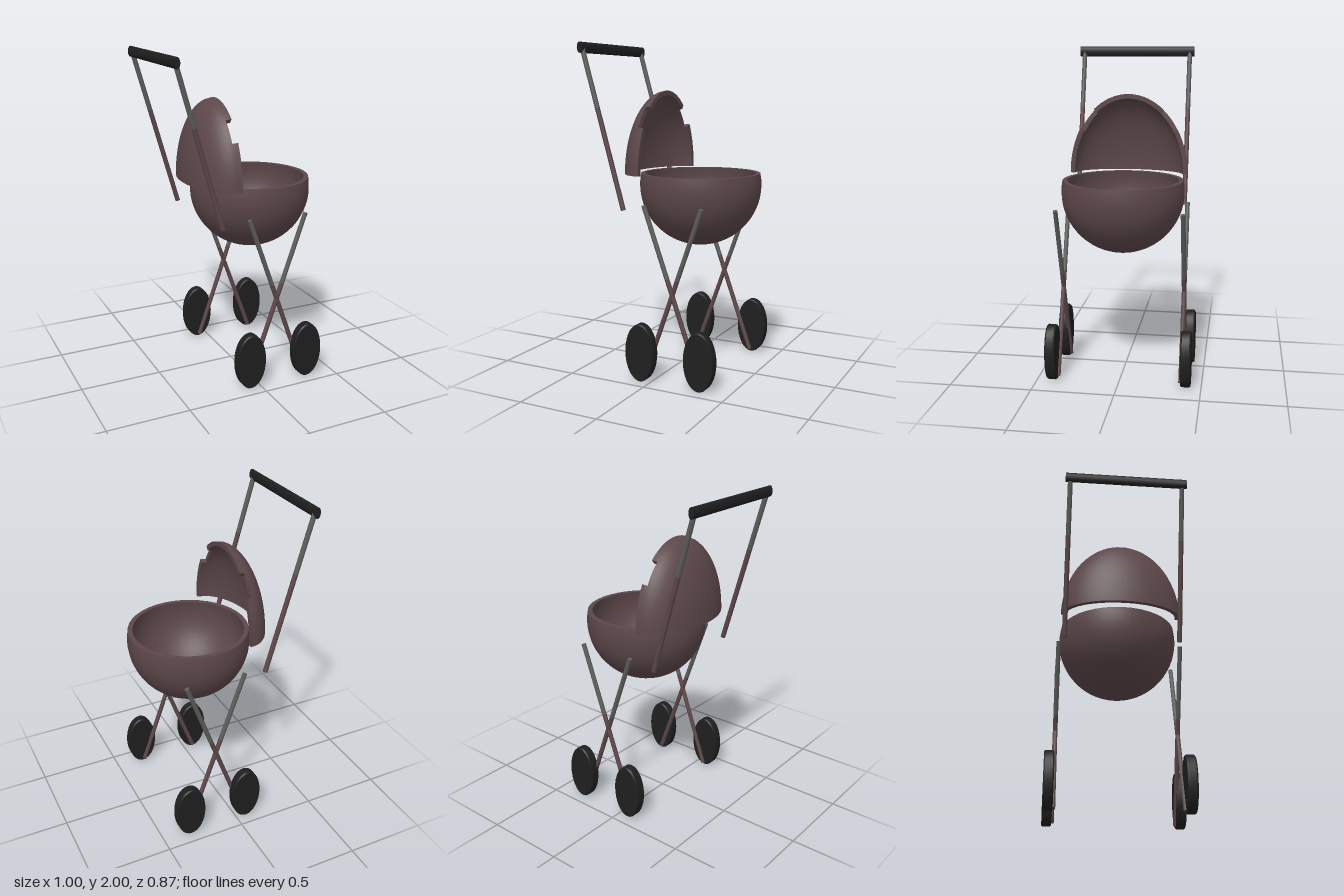
import * as THREE from 'three';
import { toCreasedNormals } from 'three/addons/utils/BufferGeometryUtils.js';

const mat = (name, color) => Object.assign(new THREE.MeshStandardMaterial({ color }), { name });

// Half-round hood shell with thickness; its front edge is notched on both sides
function hoodGeometry() {
  const steps = 14, notchU = Math.acos(0.035 / 0.215), n0 = 0.6, n1 = 0.941;
  const columns = [];
  const span = (from, to, count, edge) => {
    for (let k = 0; k <= count; k++) columns.push([from + (to - from) * k / count, edge]);
  };
  const full = Math.PI / 2;
  span(0, n0, 8, full);
  span(n0, n1, 5, notchU);
  span(n1, Math.PI - n1, 16, full);
  span(Math.PI - n1, Math.PI - n0, 5, notchU);
  span(Math.PI - n0, Math.PI, 8, full);

  const us = Array.from({ length: steps }, (_, i) => notchU * i / (steps - 1));
  const rows = 2 * (steps + 1), pos = [], idx = [];
  for (const [t, edge] of columns) {
    const outer = [...us, edge];
    const add = (u, thick) => pos.push(
      -0.1 - (0.215 - thick) * Math.cos(u),
      1.22 + (0.495 - thick) * Math.sin(u) * Math.sin(t),
      (0.37 - thick) * Math.sin(u) * Math.cos(t));
    outer.forEach(u => add(u, 0));
    outer.reverse().forEach(u => add(u, 0.028));
  }
  for (let j = 0; j < columns.length - 1; j++) {
    for (let i = 0; i < rows - 1; i++) {
      const a = j * rows + i, b = a + 1, c = a + rows, d = c + 1;
      idx.push(a, b, c, b, d, c);
    }
  }
  // bottom faces joining the outer and inner walls
  const last = (columns.length - 1) * rows;
  for (let i = 0; i < steps; i++) {
    const a = i, b = i + 1, c = rows - 1 - i, d = c - 1;
    idx.push(a, c, b, b, c, d);
    idx.push(last + a, last + b, last + c, last + b, last + d, last + c);
  }
  const geo = new THREE.BufferGeometry();
  geo.setAttribute('position', new THREE.Float32BufferAttribute(pos, 3));
  geo.setIndex(idx);
  return toCreasedNormals(geo, 0.7);
}

// Open bowl: outer wall, rim, inner wall
function bowlGeometry() {
  const pts = [], n = 18;
  const wall = r => {
    const top = Math.asin(0.07 / r), out = [];
    for (let i = 0; i <= n; i++) {
      const a = -Math.PI / 2 + (top + Math.PI / 2) * i / n;
      out.push(new THREE.Vector2(i ? r * Math.cos(a) : 0, r * Math.sin(a)));
    }
    return out;
  };
  pts.push(...wall(0.37), ...wall(0.342).reverse());
  return toCreasedNormals(new THREE.LatheGeometry(pts, 40), 0.7);
}

export function createModel() {
  const model = new THREE.Group();
  model.name = 'pram';
  const fabric = mat('brown', 0x5c474a);
  const metal = mat('grey metal', 0x5c5d5b);
  const rubber = mat('black', 0x1f1f1f);

  const add = (name, geo, material, x = 0, y = 0, z = 0) => {
    const m = new THREE.Mesh(geo, material);
    m.name = name;
    m.position.set(x, y, z);
    model.add(m);
    return m;
  };
  const rod = (name, from, to, radius, material) => {
    const dir = to.clone().sub(from);
    const m = add(name, new THREE.CylinderGeometry(radius, radius, dir.length(), 12), material);
    m.position.copy(from).lerp(to, 0.5);
    m.quaternion.setFromUnitVectors(new THREE.Vector3(0, 1, 0), dir.normalize());
  };
  // Rod with a grey upper part and a brown lower part
  const twoTone = (name, top, bottom, radius, split) => {
    const mid = top.clone().lerp(bottom, split);
    rod(name + 'Upper', top, mid, radius, metal);
    rod(name + 'Lower', mid, bottom, radius, fabric);
  };
  const v = (x, y, z) => new THREE.Vector3(x, y, z);

  add('basket', bowlGeometry(), fabric, 0.128, 1.15, 0);
  add('hood', hoodGeometry(), fabric);

  // Oval wheel with a softly rounded tread
  const tread = [[0, -0.03], [0.168, -0.03], [0.175, -0.022], [0.175, 0.022], [0.168, 0.03], [0, 0.03]];
  const wheelGeo = toCreasedNormals(
    new THREE.LatheGeometry(tread.map(p => new THREE.Vector2(...p)), 32), 0.6);
  wheelGeo.rotateX(Math.PI / 2);
  wheelGeo.scale(0.55, 1, 1);

  for (const [side, s] of [['Front', 1], ['Back', -1]]) {
    // crossed legs
    twoTone('leg' + side + 'A', v(-0.06, 1.055, s * 0.376), v(0.312, 0.02, s * 0.376), 0.014, 0.41);
    twoTone('leg' + side + 'B', v(0.312, 1.055, s * 0.376), v(-0.06, 0.02, s * 0.376), 0.014, 0.41);
    // push rods
    twoTone('handleRod' + side, v(-0.487, 1.965, s * 0.346), v(-0.215, 1.01, s * 0.346), 0.015, 0.37);
    for (const x of [-0.065, 0.319]) add('wheel' + side, wheelGeo, rubber, x, 0.178, s * 0.407);
  }

  // Handle grip
  const gripGeo = new THREE.CylinderGeometry(0.0325, 0.0325, 0.75, 16);
  gripGeo.rotateX(Math.PI / 2);
  gripGeo.scale(0.54, 1, 1);
  add('handleGrip', gripGeo, rubber, -0.488, 1.9675, 0);

  return model;
}
